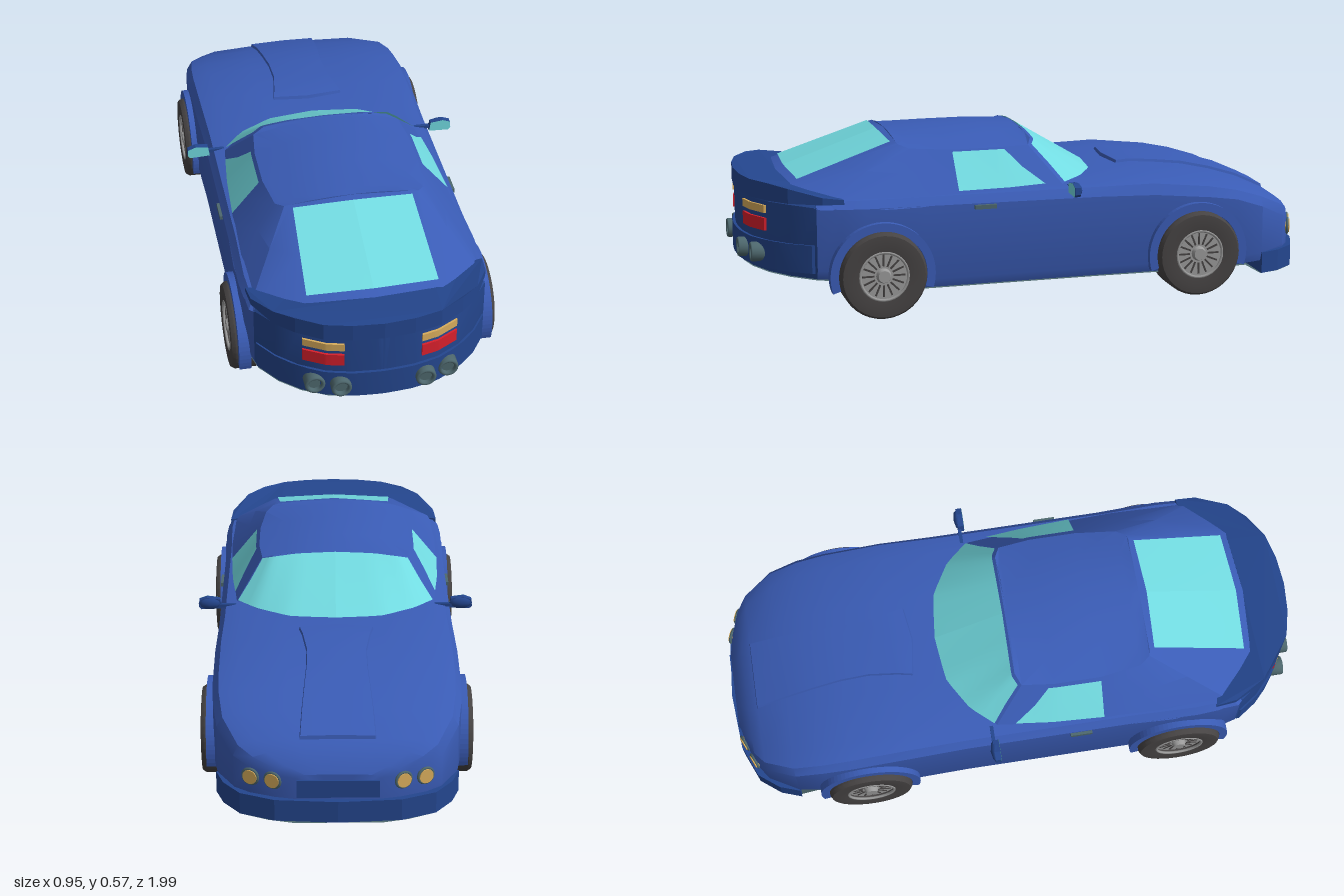
import * as THREE from 'three';
import { toCreasedNormals } from 'three/addons/utils/BufferGeometryUtils.js';

const mat = (name, color) => new THREE.MeshStandardMaterial({ name, color, side: THREE.DoubleSide });
const V = (x, y, z) => new THREE.Vector3(x, y, z);
const lerp = THREE.MathUtils.lerp;

// Linear look-up in rows sorted by their first entry
function lookup(table, x, col = 1) {
  let i = 0;
  while (i < table.length - 2 && x > table[i + 1][0]) i++;
  const [a, b] = [table[i], table[i + 1]];
  return lerp(a[col], b[col], THREE.MathUtils.clamp((x - a[0]) / (b[0] - a[0]), 0, 1));
}

// Surface through rows of points, optionally closed around each row and capped
function skin(rows, closed = false, caps = false, crease = 0.5) {
  const n = rows[0].length, pos = rows.flat().flatMap(p => [p.x, p.y, p.z]), idx = [];
  for (let i = 0; i < rows.length - 1; i++)
    for (let j = 0; j < (closed ? n : n - 1); j++) {
      const a = i * n + j, b = i * n + (j + 1) % n;
      idx.push(a, b, a + n, b, b + n, a + n);
    }
  if (caps) for (let j = 1; j < n - 1; j++) {
    const e = (rows.length - 1) * n;
    idx.push(0, j + 1, j, e, e + j, e + j + 1);
  }
  const g = new THREE.BufferGeometry();
  g.setAttribute('position', new THREE.Float32BufferAttribute(pos, 3));
  g.setIndex(idx);
  return toCreasedNormals(g, crease);
}

// z, half width, bottom, shoulder height, centre height
const SECTIONS = [
  [-0.98, 0.13, 0.10, 0.195, 0.21], [-0.965, 0.2, 0.10, 0.20, 0.235], [-0.935, 0.28, 0.10, 0.215, 0.27],
  [-0.9, 0.33, 0.10, 0.235, 0.295], [-0.8, 0.385, 0.09, 0.285, 0.34], [-0.7, 0.4, 0.085, 0.32, 0.37],
  [-0.6, 0.405, 0.085, 0.335, 0.392], [-0.4, 0.405, 0.085, 0.355, 0.415], [-0.2, 0.4, 0.085, 0.36, 0.41],
  [0.4, 0.4, 0.085, 0.365, 0.41], [0.6, 0.405, 0.12, 0.368, 0.41], [0.68, 0.4, 0.13, 0.37, 0.41],
  [0.76, 0.38, 0.134, 0.375, 0.408], [0.84, 0.325, 0.138, 0.38, 0.407], [0.9, 0.26, 0.142, 0.38, 0.405],
  [0.945, 0.18, 0.147, 0.38, 0.405], [0.965, 0.1, 0.15, 0.38, 0.405], [0.972, 0.02, 0.15, 0.38, 0.4]];

function ring([z, w, yb, ys, yt]) {
  const h = yt - ys;
  const half = [[0, yb], [w * 0.97, yb], [w, yb + 0.03], [w, ys], [w * 0.95, ys + h * 0.6],
    [w * 0.8, ys + h * 0.86], [w * 0.4, ys + h * 0.97], [0, yt]];
  return [...half, ...half.slice(1, -1).reverse().map(([x, y]) => [-x, y])].map(([x, y]) => V(x, y, z));
}

// Cabin side columns: foot and roof edge, from windscreen centre to rear window centre
const COLUMNS = [
  [V(0, 0.40, -0.26), V(0, 0.555, 0)], [V(0.16, 0.40, -0.24), V(0.13, 0.55, -0.003)],
  [V(0.27, 0.40, -0.175), V(0.215, 0.538, -0.008)], [V(0.345, 0.395, -0.09), V(0.255, 0.522, 0.01)],
  [V(0.365, 0.39, 0.1), V(0.268, 0.522, 0.12)], [V(0.375, 0.39, 0.28), V(0.268, 0.522, 0.28)],
  [V(0.38, 0.39, 0.5), V(0.25, 0.53, 0.42)], [V(0.365, 0.4, 0.7), V(0.225, 0.542, 0.455)],
  [V(0.225, 0.42, 0.84), V(0.205, 0.547, 0.458)], [V(0, 0.425, 0.855), V(0, 0.56, 0.458)]];
const ROOF = [[0, 0.556], [0.1, 0.566], [0.3, 0.567], [0.458, 0.561]];

function cabinPoint(u, v) {
  const i = Math.min(Math.floor(u), COLUMNS.length - 2), t = u - i;
  const at = k => COLUMNS[i][k].clone().lerp(COLUMNS[i + 1][k], t);
  return at(0).lerp(at(1), v);
}

// Glass over the cabin; corners are [column, height] with the lower pair first
function glass([a, b, c, d], side) {
  const rows = [];
  const N = 12;
  for (let i = 0; i <= N; i++) {
    const s = i / N, row = [];
    for (let j = 0; j <= 2; j++) {
      const t = j / 2;
      const p = cabinPoint(lerp(lerp(a[0], b[0], s), lerp(d[0], c[0], s), t),
        lerp(lerp(a[1], b[1], s), lerp(d[1], c[1], s), t));
      const out = V(p.x, 0.25, (p.z - 0.25) * 0.5).normalize().multiplyScalar(0.007);
      p.add(out);
      row.push(V(p.x * side, p.y, p.z));
    }
    rows.push(row);
  }
  return skin(rows);
}

// Thin strip wrapped around the rounded tail or nose
const TAIL = SECTIONS.slice(12).map(s => [s[1], s[0]]).reverse();
const NOSE = SECTIONS.slice(0, 5).map(s => [s[1], s[0]]);
function wrap(table, x0, x1, y0, y1, off) {
  const rows = [];
  for (let i = 0; i <= 16; i++) {
    const x = lerp(x0, x1, i / 16), z = lookup(table, Math.abs(x)), o = z + off;
    rows.push([V(x, y0, z), V(x, y0, o), V(x, y1, o), V(x, y1, z)]);
  }
  return skin(rows, false, true);
}

// Flat plan outline (half, mirrored) extruded upwards
function planSlab(half, y, depth) {
  const pts = [...half, ...half.filter(p => p[0] > 0).reverse().map(([x, z]) => [-x, z])];
  const g = new THREE.ExtrudeGeometry(new THREE.Shape(pts.map(([x, z]) => new THREE.Vector2(x, -z))),
    { depth, bevelEnabled: false });
  return g.rotateX(-Math.PI / 2).translate(0, y, 0);
}

export function createModel() {
  const blue = mat('body blue', 0x3a5cb6), dark = mat('trim dark blue', 0x24468e);
  const glassM = mat('aqua glass', 0x72dbe1), grey = mat('slate grey', 0x4e686e);
  const rubber = mat('tyre rubber', 0x464343), alloy = mat('wheel alloy', 0x9a9a9a);
  const amber = mat('amber lamp', 0xd8ac5c), red = mat('red lamp', 0xd8202c);
  const car = new THREE.Group();
  const add = (name, geo, m, parent = car) => {
    const mesh = new THREE.Mesh(geo, m);
    mesh.name = name;
    parent.add(mesh);
    return mesh;
  };

  // Body shell, tail and floor
  add('bodyShell', skin(SECTIONS.slice(0, 13).map(ring), true, true), blue);
  add('tail', skin(SECTIONS.slice(12).map(ring), true, true), dark);
  const floor = [[-0.995, 0.14, 0.045], [-0.975, 0.22, 0.045], [-0.935, 0.31, 0.045], [-0.87, 0.36, 0.045],
    [-0.8, 0.38, 0.045], [-0.74, 0.385, 0.081], ...SECTIONS.slice(6).map(([z, w, yb]) => [z, w * 0.97, yb - 0.004])];
  add('underside', skin(floor.map(([z, w, y]) => [V(-w, y, z), V(w, y, z)])), grey);

  // Cabin with crowned roof
  const shell = [];
  for (let i = 0; i < COLUMNS.length; i++) {
    const top = COLUMNS[i][1], crown = lookup(ROOF, top.z);
    const half = [cabinPoint(i, -0.2), cabinPoint(i, 0.5), top.clone()];
    for (const t of [0.66, 0.33, 0])
      half.push(V(top.x * t, lerp(crown, top.y, t * t), top.z));
    shell.push([...half, ...half.slice(0, -1).reverse().map(p => V(-p.x, p.y, p.z))]);
  }
  add('cabin', skin(shell, false, false, 0.4), blue);

  for (const s of [1, -1]) {
    add('windscreen', glass([[0, 0.03], [2.9, 0.05], [2.75, 0.95], [0, 0.95]], s), glassM);
    add('sideWindow', glass([[3.33, 0.07], [5, 0.07], [5, 0.93], [3.85, 0.93]], s), glassM);
    add('rearWindow', glass([[8.05, 0.13], [9, 0.13], [9, 0.94], [8.05, 0.96]], s), glassM);
  }

  // Raised hood panel
  const hood = [[-0.905, 0.118, -0.012], [-0.9, 0.118, 0.008], [-0.8, 0.112, 0.008], [-0.7, 0.105, 0.008],
    [-0.6, 0.098, 0.008], [-0.5, 0.097, 0.008], [-0.4, 0.112, 0.008], [-0.35, 0.122, 0.008], [-0.342, 0.122, -0.012]];
  add('hoodPanel', skin(hood.map(([z, w, h]) => {
    const y = lookup(SECTIONS, z, 4), zc = z > -0.4 ? z + 0.016 : z;
    return [V(-w - 0.006, y - 0.012, z), V(-w, y + h, z), V(0, y + h + 0.003, zc), V(w, y + h, z), V(w + 0.006, y - 0.012, z)];
  })), blue);

  // Front lip and nose panel
  add('frontLip', planSlab([[0, -1], [0.2, -0.985], [0.31, -0.94], [0.365, -0.87], [0.39, -0.8]], 0.048, 0.074), dark);
  add('nosePanel', wrap(NOSE, -0.13, 0.13, 0.13, 0.19, -0.006), dark);

  // Ducktail spoiler rising to the rear
  const spoiler = planSlab([[0, 0.835], [0.2, 0.82], [0.28, 0.77], [0.345, 0.68], [0.392, 0.67], [0.385, 0.74],
    [0.33, 0.845], [0.27, 0.9], [0.19, 0.95], [0.1, 0.972], [0, 0.98]].reverse(), 0.385, 0.06);
  const sp = spoiler.attributes.position;
  for (let i = 0; i < sp.count; i++)
    if (sp.getY(i) > 0.42) sp.setY(i, lerp(0.4, 0.445, THREE.MathUtils.smoothstep(sp.getZ(i), 0.66, 0.93)));
  spoiler.computeVertexNormals();
  add('spoiler', spoiler, dark);

  // Rear bumper
  add('rearBumper', wrap(TAIL, -0.375, 0.375, 0.155, 0.25, 0.01), dark);

  for (const s of [1, -1]) {
    // Tail lamps
    add('upperTailLamp', wrap(TAIL, s * 0.125, s * 0.25, 0.34, 0.366, 0.008), amber);
    add('lowerTailLamp', wrap(TAIL, s * 0.125, s * 0.25, 0.28, 0.323, 0.008), red);

    // Exhaust pipes
    for (const x of [0.137, 0.217]) {
      const pipe = new THREE.Group();
      pipe.name = 'exhaust';
      pipe.position.set(s * x, 0.203, lookup(TAIL, x) + 0.008);
      car.add(pipe);
      const o = [[0.021, -0.02], [0.033, -0.02], [0.033, 0.022], [0.03, 0.026], [0.024, 0.026], [0.021, 0.022], [0.021, -0.02]];
      add('pipeWall', new THREE.LatheGeometry(o.map(p => new THREE.Vector2(...p)), 20).rotateX(Math.PI / 2), grey, pipe);
      add('pipeEnd', new THREE.CircleGeometry(0.022, 20).translate(0, 0, 0.012), grey, pipe);
    }

    // Headlamps
    for (const x of [0.205, 0.275]) {
      const lamp = new THREE.Group();
      lamp.name = 'headlamp';
      lamp.position.set(s * x, 0.183, lookup(NOSE, x) - 0.004);
      lamp.rotation.y = -s * 0.42;
      car.add(lamp);
      add('lens', new THREE.CylinderGeometry(0.024, 0.024, 0.016, 18).rotateX(Math.PI / 2), amber, lamp);
      add('bezel', new THREE.TorusGeometry(0.026, 0.005, 6, 18), grey, lamp);
    }

    // Door mirror and handle
    const mirror = new THREE.Group();
    mirror.name = 'mirror';
    mirror.position.set(s * 0.435, 0.4, -0.108);
    car.add(mirror);
    add('mirrorShell', new THREE.SphereGeometry(0.04, 8, 6).scale(1, 0.55, 0.4), dark, mirror);
    const face = new THREE.Shape([[-0.039, -0.018], [0.03, -0.021], [0.039, -0.012], [0.037, 0.012], [0.01, 0.022], [-0.034, 0.016]]
      .map(([x, y]) => new THREE.Vector2(x * s, y)));
    add('mirrorGlass', new THREE.ShapeGeometry(face).translate(0, 0, 0.017), glassM, mirror);
    add('mirrorRim', new THREE.ExtrudeGeometry(face, { depth: 0.02, bevelEnabled: false }).translate(0, 0, -0.004), dark, mirror);
    add('mirrorArm', new THREE.BoxGeometry(0.09, 0.012, 0.012).translate(-s * 0.06, -0.008, 0), dark, mirror);
    add('doorHandle', new THREE.BoxGeometry(0.012, 0.014, 0.075).translate(s * 0.404, 0.352, 0.197), grey);

    for (const z of [0.55, -0.55]) {
      // Wheel arch flare
      const arch = new THREE.Shape();
      arch.absarc(0, 0, 0.176, -0.3, Math.PI + 0.3, false);
      arch.absarc(0, 0, 0.148, Math.PI + 0.3, -0.3, true);
      const flare = add('archFlare', new THREE.ExtrudeGeometry(arch, { depth: 0.04, bevelEnabled: false, curveSegments: 20 })
        .rotateY(Math.PI / 2), blue);
      flare.position.set(s > 0 ? 0.385 : -0.425, 0.146, z);

      // Wheel, built with its outer face towards +x and turned for the other side
      const wheel = new THREE.Group();
      wheel.name = 'wheel';
      wheel.position.set(s * 0.385, 0.146, z);
      wheel.rotation.y = s > 0 ? 0 : Math.PI;
      car.add(wheel);
      const profile = [[0, -0.058], [0.14, -0.06], [0.146, -0.05], [0.146, 0.046], [0.138, 0.058], [0.115, 0.06], [0.084, 0.056], [0.082, 0.035]];
      const tyre = new THREE.LatheGeometry(profile.map(p => new THREE.Vector2(...p)), 36).rotateZ(-Math.PI / 2);
      add('tyre', toCreasedNormals(tyre, 0.6), rubber, wheel);
      add('rimDisc', new THREE.CylinderGeometry(0.083, 0.083, 0.01, 32).rotateZ(Math.PI / 2).translate(0.038, 0, 0), alloy, wheel);
      add('rimRing', new THREE.TorusGeometry(0.081, 0.005, 6, 32).rotateY(Math.PI / 2).translate(0.054, 0, 0), alloy, wheel);
      add('hubCap', new THREE.CylinderGeometry(0.02, 0.026, 0.016, 16).rotateZ(-Math.PI / 2).translate(0.05, 0, 0), alloy, wheel);
      for (let i = 0; i < 16; i++)
        add('rimSlot', new THREE.BoxGeometry(0.004, 0.04, 0.006).translate(0.043, 0.052, 0).rotateX(i * Math.PI / 8), rubber, wheel);
    }
  }
  return car;
}
